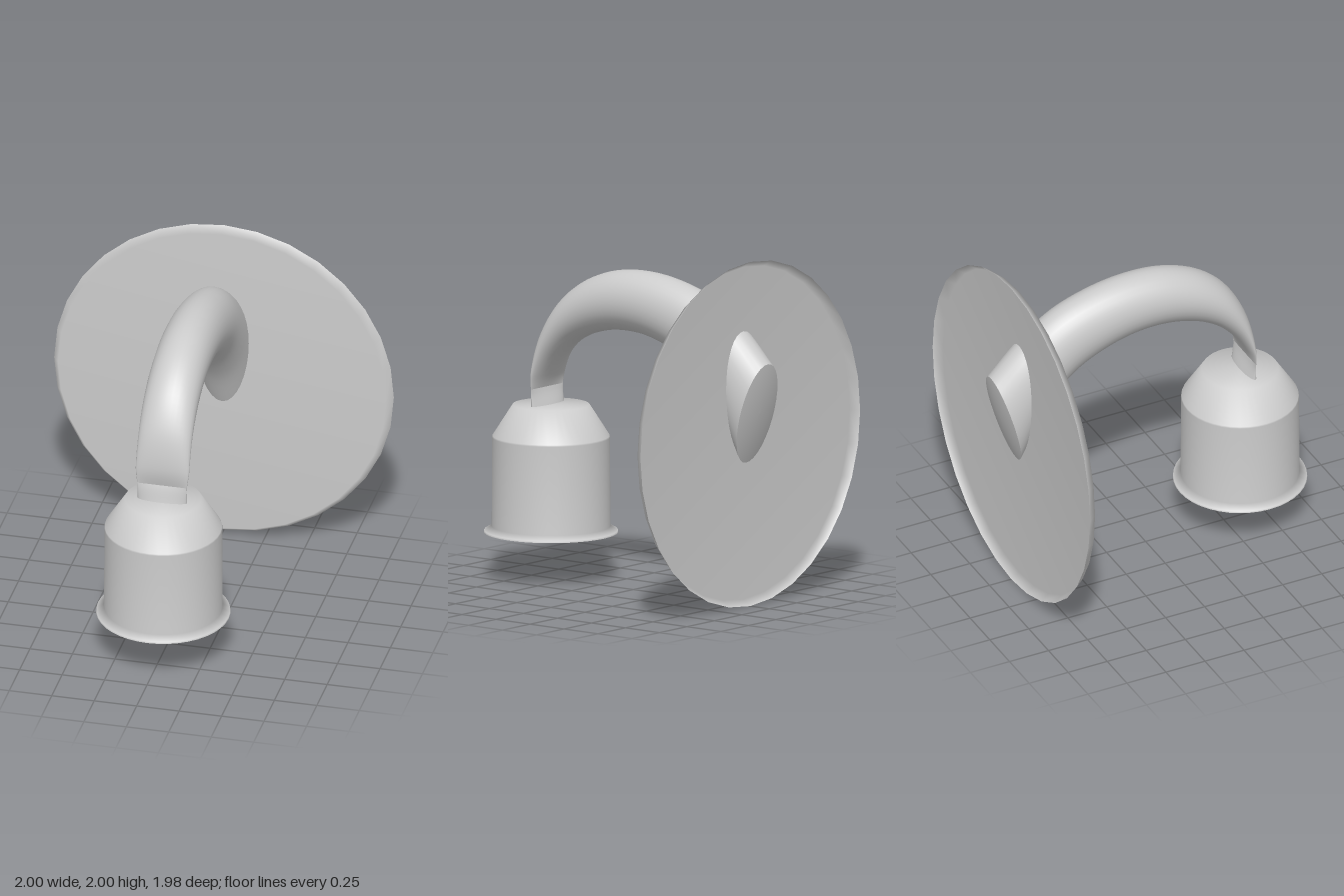
import * as THREE from 'three';
import { ParametricGeometry } from 'three/addons/geometries/ParametricGeometry.js';

const material = new THREE.MeshStandardMaterial({ color: 0xcccccc, side: THREE.DoubleSide });

function addMesh(group, name, geometry) {
  const mesh = new THREE.Mesh(geometry, material);
  mesh.name = name;
  group.add(mesh);
  return mesh;
}

const lathe = (points, segments) =>
  new THREE.LatheGeometry(points.map(([r, y]) => new THREE.Vector2(r, y)), segments);

// Side outlines of the arm as [z, y], running from the shade to the wall
const curve = (points) =>
  new THREE.CatmullRomCurve3(points.map(([z, y]) => new THREE.Vector3(0, y, z)));
const outer = curve([
  [0.60, 1.01], [0.632, 1.1], [0.65, 1.22], [0.61, 1.44], [0.50, 1.63], [0.34, 1.76],
  [0.13, 1.84], [-0.10, 1.86], [-0.34, 1.83], [-0.58, 1.75], [-0.80, 1.6], [-0.99, 1.42],
]);
const inner = curve([
  [0.66, 1.01], [0.638, 1.1], [0.605, 1.18], [0.53, 1.29], [0.42, 1.39], [0.28, 1.46],
  [0.10, 1.5], [-0.10, 1.495], [-0.30, 1.44], [-0.50, 1.33], [-0.68, 1.12], [-0.83, 0.83],
]);

// Point on the elliptical cross-section at v along the arm; scale shrinks it to its centre
function armPoint(u, v, scale, target) {
  const a = outer.getPoint(v);
  const b = inner.getPoint(v);
  const angle = u * Math.PI * 2;
  const width = 0.145 + 0.013 * THREE.MathUtils.smoothstep(v, 0.08, 0.2);
  target.lerpVectors(b, a, 0.5 + 0.5 * scale * Math.sin(angle));
  target.x = width * scale * Math.cos(angle);
}

export function createModel() {
  const group = new THREE.Group();

  // Wall plate: a shallow pan, open at the back
  const plate = addMesh(group, 'wallPlate',
    lathe([[1, -0.86], [0.965, -0.81], [0, -0.81]], 32));
  plate.geometry.rotateX(Math.PI / 2);
  plate.position.y = 1;

  // Curved arm, flattened where it meets the shade
  addMesh(group, 'arm',
    new ParametricGeometry((u, v, t) => armPoint(u, v, 1, t), 32, 60));

  // Slightly domed end of the arm behind the plate
  addMesh(group, 'armEnd', new ParametricGeometry((u, v, t) => {
    const r = Math.max(v, 0.001);
    armPoint(u, 1, r, t);
    t.z -= 0.02 * (1 - r * r);
  }, 32, 6));

  // Lamp shade with a flared rim, open below
  const shade = addMesh(group, 'shade', lathe([
    [0.385, 0.27], [0.383, 0.28], [0.34, 0.305], [0.338, 0.82],
    [0.335, 0.83], [0.22, 1.01], [0, 1.01],
  ], 40));
  shade.position.z = 0.605;

  // Round bulb inside the shade
  const bulb = addMesh(group, 'bulb', new THREE.SphereGeometry(0.22, 32, 20));
  bulb.position.set(0, 0.58, 0.605);

  return group;
}
